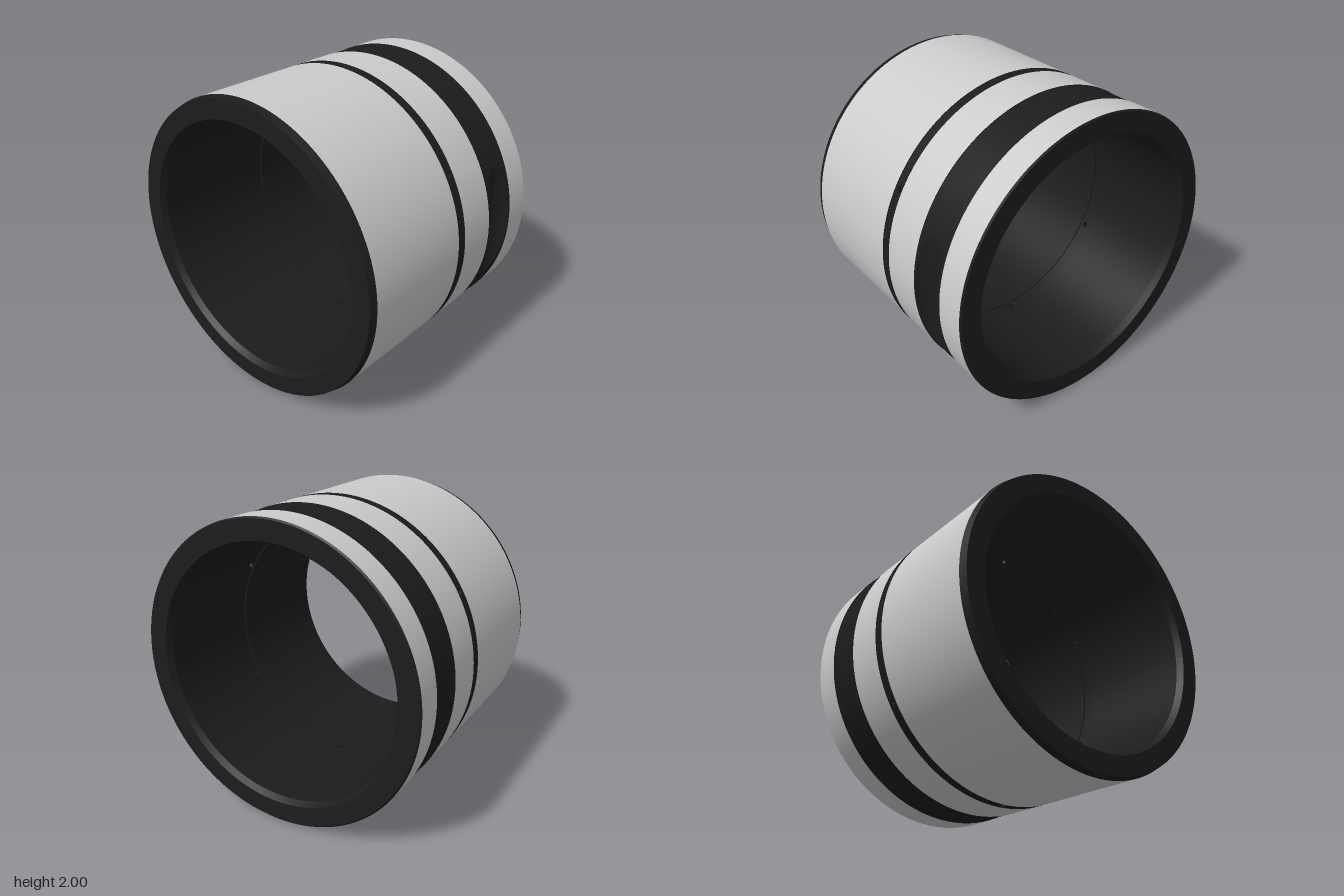
import * as THREE from 'three';
import { mergeGeometries } from 'three/addons/utils/BufferGeometryUtils.js';

const TAU = Math.PI * 2;
const R = 1, FLOOR = 0.996;             // outer radius, radius of the dark bands
const BORE = 0.835, BORE_GROOVE = 0.845; // inner radii
const GROOVE = [0.02, 0.09], BAND = [0.37, 0.63];
const HOLE = 0.02, TILE = 0.042;        // oil hole radius, half angle of its tile

// Point on a ring around the x axis; angle 0 faces the front
const polar = (x, r, a) => [x, -r * Math.sin(a), r * Math.cos(a)];

// Surface from a rule f(u, v) with u, v in 0..1
function grid(nu, nv, f) {
  const pos = [], idx = [];
  for (let i = 0; i <= nu; i++)
    for (let j = 0; j <= nv; j++) pos.push(...f(i / nu, j / nv));
  for (let i = 0; i < nu; i++)
    for (let j = 0; j < nv; j++) {
      const a = i * (nv + 1) + j, b = a + nv + 1;
      idx.push(a, b, a + 1, b + 1, a + 1, b);
    }
  const g = new THREE.BufferGeometry();
  g.setAttribute('position', new THREE.Float32BufferAttribute(pos, 3));
  g.setIndex(idx);
  g.computeVertexNormals();
  return g;
}

// Revolves each edge of an [x, r] profile separately, so corners stay sharp
function revolve(profile, a0 = 0, a1 = TAU) {
  const n = Math.max(4, Math.ceil((a1 - a0) / TAU * 192));
  return profile.slice(1).map((q, k) => {
    const p = profile[k];
    return grid(n, 1, (u, v) =>
      polar(p[0] + (q[0] - p[0]) * v, p[1] + (q[1] - p[1]) * v, a0 + (a1 - a0) * u));
  });
}

// Curved square tile with a round hole, facing outward or inward
function holeTile(r, centre, dir) {
  const xm = (GROOVE[0] + GROOVE[1]) / 2, hx = (GROOVE[1] - GROOVE[0]) / 2;
  return grid(32, 2, (u, v) => {
    const t = u * TAU * dir, c = Math.cos(t), s = Math.sin(t);
    const m = Math.max(Math.abs(c), Math.abs(s));
    const x = HOLE * c * (1 - v) + hx * c / m * v;
    const a = Math.asin(HOLE * s / r) * (1 - v) + TILE * s / m * v;
    return polar(xm + x, r, centre + a);
  });
}

// Groove floor: arcs between six drilled tiles
function drilledFloor(r, dir) {
  const edge = dir > 0 ? GROOVE : [GROOVE[1], GROOVE[0]];
  const parts = [];
  for (let k = 0; k < 6; k++) {
    const a = Math.PI / 6 + k * Math.PI / 3;
    parts.push(holeTile(r, a, dir));
    parts.push(...revolve(edge.map(x => [x, r]), a + TILE, a + Math.PI / 3 - TILE));
  }
  return parts;
}

export function createModel() {
  const group = new THREE.Group();
  const grey = new THREE.MeshStandardMaterial({ color: 0xcccccc, side: THREE.DoubleSide });
  const dark = new THREE.MeshStandardMaterial({ color: 0x1c1c1c, side: THREE.DoubleSide });
  const add = (name, parts, material) => {
    const mesh = new THREE.Mesh(mergeGeometries(parts), material);
    mesh.name = name;
    mesh.position.y = 1;
    group.add(mesh);
  };

  // Ground outer lands
  add('wideLand', revolve([[-0.78, R], [GROOVE[0], R]]), grey);
  add('middleLand', revolve([[GROOVE[1], R], [BAND[0], R]]), grey);
  add('endLand', revolve([[BAND[1], R], [0.82, R]]), grey);

  // End faces with outer and inner chamfers
  add('rightEnd', revolve([[0.82, R], [0.83, 0.99], [0.83, 0.86], [0.79, BORE]]), dark);
  add('leftEnd', revolve([[-0.79, BORE], [-0.83, 0.86], [-0.83, 0.987], [-0.78, R]]), dark);

  // Bore with its shallow inner groove
  add('bore', [
    ...revolve([[0.79, BORE], [GROOVE[1], BORE], [GROOVE[1], BORE_GROOVE]]),
    ...revolve([[GROOVE[0], BORE_GROOVE], [GROOVE[0], BORE], [-0.79, BORE]]),
    ...drilledFloor(BORE_GROOVE, -1)
  ], dark);

  // Outer oil groove
  add('oilGroove', [
    ...revolve([[GROOVE[0], R], [GROOVE[0], FLOOR]]),
    ...revolve([[GROOVE[1], FLOOR], [GROOVE[1], R]]),
    ...drilledFloor(FLOOR, 1)
  ], dark);

  // Six radial oil holes
  const holes = [];
  for (let k = 0; k < 6; k++) {
    const a = Math.PI / 6 + k * Math.PI / 3;
    holes.push(grid(32, 1, (u, v) => {
      const t = -u * TAU, s = HOLE * Math.sin(t);
      const r = v ? FLOOR : BORE_GROOVE;
      return polar(0.055 + HOLE * Math.cos(t), r, a + Math.asin(s / r));
    }));
  }
  add('oilHoles', holes, dark);

  // Wide dark band; a round-bottomed pocket is milled across its front
  const cx = 0.5, cz = 1.035, cr = 0.125;
  const aMax = Math.acos((cz - cr) / FLOOR);
  const angle = u => aMax * Math.sin((u - 0.5) * Math.PI);
  const halfWidth = a =>
    Math.sqrt(Math.max(0, cr * cr - (cz - FLOOR * Math.cos(a)) ** 2));
  const lerp = THREE.MathUtils.lerp;
  add('wideBand', [
    ...revolve([[BAND[0], R], [BAND[0], FLOOR]]),
    ...revolve([[BAND[1], FLOOR], [BAND[1], R]]),
    ...revolve(BAND.map(x => [x, FLOOR]), aMax, TAU - aMax),
    grid(64, 1, (u, v) => {
      const a = angle(u);
      return polar(lerp(BAND[0], cx - halfWidth(a), v), FLOOR, a);
    }),
    grid(64, 1, (u, v) => {
      const a = angle(u);
      return polar(lerp(cx + halfWidth(a), BAND[1], v), FLOOR, a);
    })
  ], dark);
  add('pocket', [grid(64, 24, (u, v) => {
    const a = angle(u), dx = -halfWidth(a) * Math.cos(v * Math.PI);
    const z = cz - Math.sqrt(cr * cr - dx * dx);
    return [cx + dx, -FLOOR * Math.sin(a) * (z / (FLOOR * Math.cos(a))), z];
  })], dark);

  return group;
}
